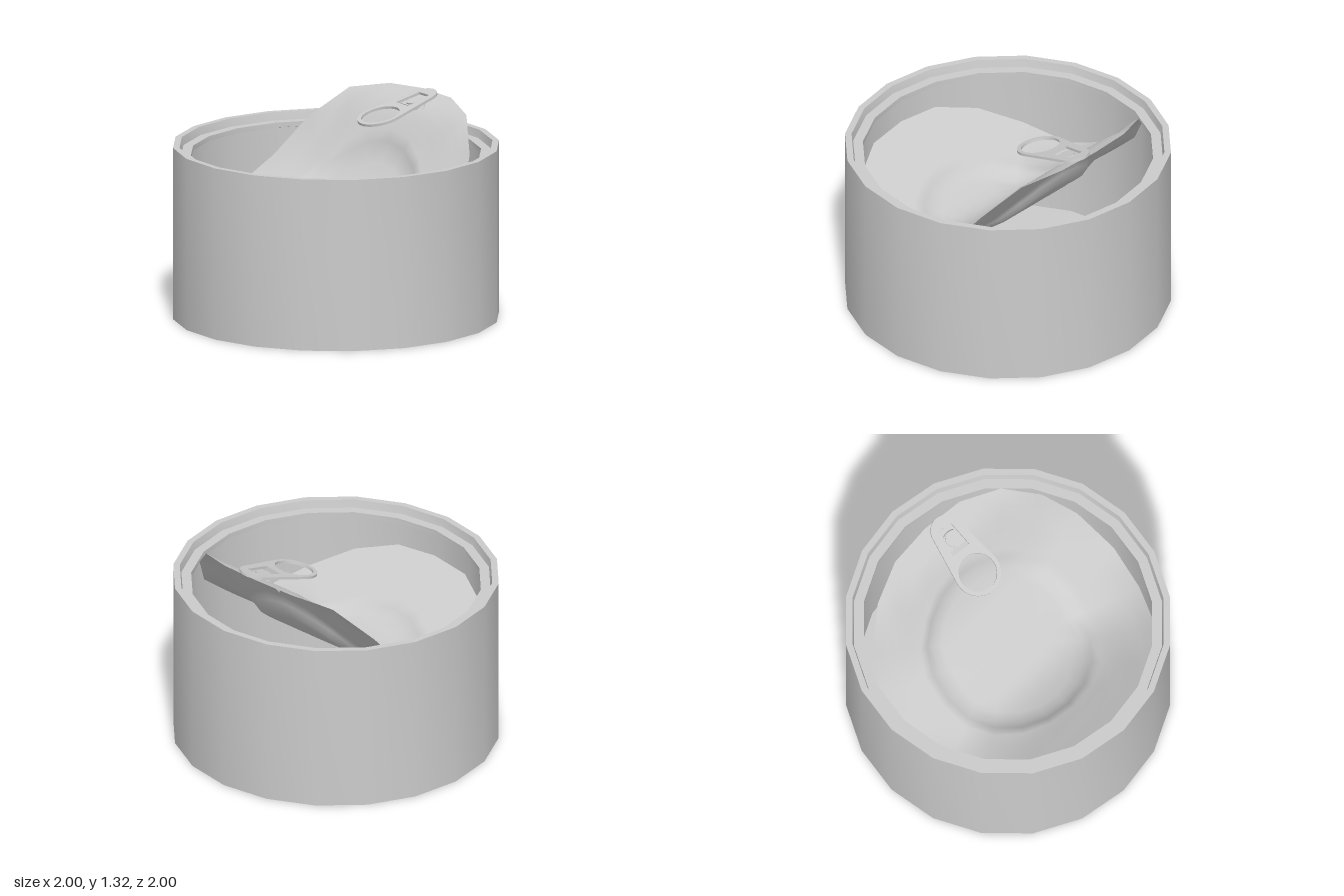
import * as THREE from 'three';
import { toCreasedNormals } from 'three/addons/utils/BufferGeometryUtils.js';
import { ParametricGeometry } from 'three/addons/geometries/ParametricGeometry.js';

const SIDES = 20;
const grey = new THREE.MeshStandardMaterial({ color: 0xcccccc });
const sheet = new THREE.MeshStandardMaterial({ color: 0xcccccc, side: THREE.DoubleSide });
const vec = ([x, y]) => new THREE.Vector2(x, y);

function part(name, geometry, material = grey) {
  const mesh = new THREE.Mesh(geometry, material);
  mesh.name = name;
  return mesh;
}

// Bending curve of the lid: from the back-left of the tin, down, and up to the flap
const bend = new THREE.SplineCurve([
  [-0.88, 0.85], [-0.68, 0.73], [-0.46, 0.61], [-0.22, 0.55], [-0.01, 0.65],
  [0.22, 0.78], [0.38, 0.97], [0.55, 1.215], [0.72, 1.31],
].map(vec));

// A disc rolled along the bending curve, with a shallow recessed centre panel
function lidPoint(u, v, target) {
  const r = 0.002 + 0.998 * v;
  const a = u * Math.PI * 2;
  const k = (r * Math.cos(a) + 1) / 2;
  const p = bend.getPoint(k);
  const dir = bend.getTangent(k);
  const recess = 0.04 * (1 - THREE.MathUtils.smoothstep(r, 0.48, 0.62));
  target.set(p.x + dir.y * recess, p.y - dir.x * recess, -0.9 * r * Math.sin(a));
}

// Ring pull outline: a large and a small round end joined by tangents
function tabShape() {
  const R = 0.145, r = 0.1, L = 0.315;
  const phi = Math.acos((R - r) / L);
  const s = new THREE.Shape();
  s.absarc(0, 0, R, phi, Math.PI * 2 - phi, false);
  s.absarc(L, 0, r, -phi, phi, false);
  s.closePath();
  const ring = new THREE.Path();
  ring.absarc(0, 0, 0.12, 0, Math.PI * 2, true);
  const slot = new THREE.Path([[0.17, -0.065], [0.17, 0.065], [0.34, 0.05], [0.34, -0.05]].map(vec));
  s.holes.push(ring, slot);
  return s;
}

export function createModel() {
  const model = new THREE.Group();
  model.name = 'openTin';

  // Tin body: outside, stepped rim, inner wall and floor in one profile
  const profile = [
    [0, 0], [1, 0], [1, 1.07], [0.96, 1.07], [0.95, 1.02], [0.89, 1.02],
    [0.89, 0.99], [0.93, 0.98], [0.93, 0.04], [0, 0.04],
  ].map(vec);
  model.add(part('tinBody', toCreasedNormals(new THREE.LatheGeometry(profile, SIDES), 0.5)));

  // Peeled lid
  model.add(part('bentLid', new ParametricGeometry(lidPoint, SIDES, 16), sheet));

  // Ring pull with its rivet tongue
  const tab = new THREE.Group();
  tab.name = 'ringPull';
  const plate = new THREE.ExtrudeGeometry(tabShape(), { depth: 0.016, bevelEnabled: false, curveSegments: 16 });
  plate.rotateX(-Math.PI / 2);
  tab.add(part('ringPullPlate', toCreasedNormals(plate, 0.6)));
  const tongue = part('rivetTongue', new THREE.BoxGeometry(0.1, 0.008, 0.13));
  tongue.position.set(0.25, -0.006, 0);
  tab.add(tongue);
  const rivet = part('rivet', new THREE.CylinderGeometry(0.045, 0.045, 0.05, 16));
  rivet.position.set(0.255, -0.018, 0);
  tab.add(rivet);
  tab.position.set(0.32, 1.2, 0.055);
  tab.rotation.set(0, -0.115, 0.262);
  model.add(tab);

  // Round-topped pad behind the rivet on the outer face of the flap
  const pad = new THREE.Shape();
  pad.moveTo(-0.085, -0.08);
  pad.lineTo(0.085, -0.08);
  pad.lineTo(0.085, 0.01);
  pad.absarc(0, 0.01, 0.085, 0, Math.PI, false);
  const padGeometry = new THREE.ExtrudeGeometry(pad, { depth: 0.012, bevelEnabled: false });
  padGeometry.rotateY(Math.PI / 2);
  const rivetPad = part('rivetPad', padGeometry);
  rivetPad.position.set(0.55, 1.21, 0.085);
  rivetPad.rotation.z = -0.7;
  model.add(rivetPad);

  return model;
}
